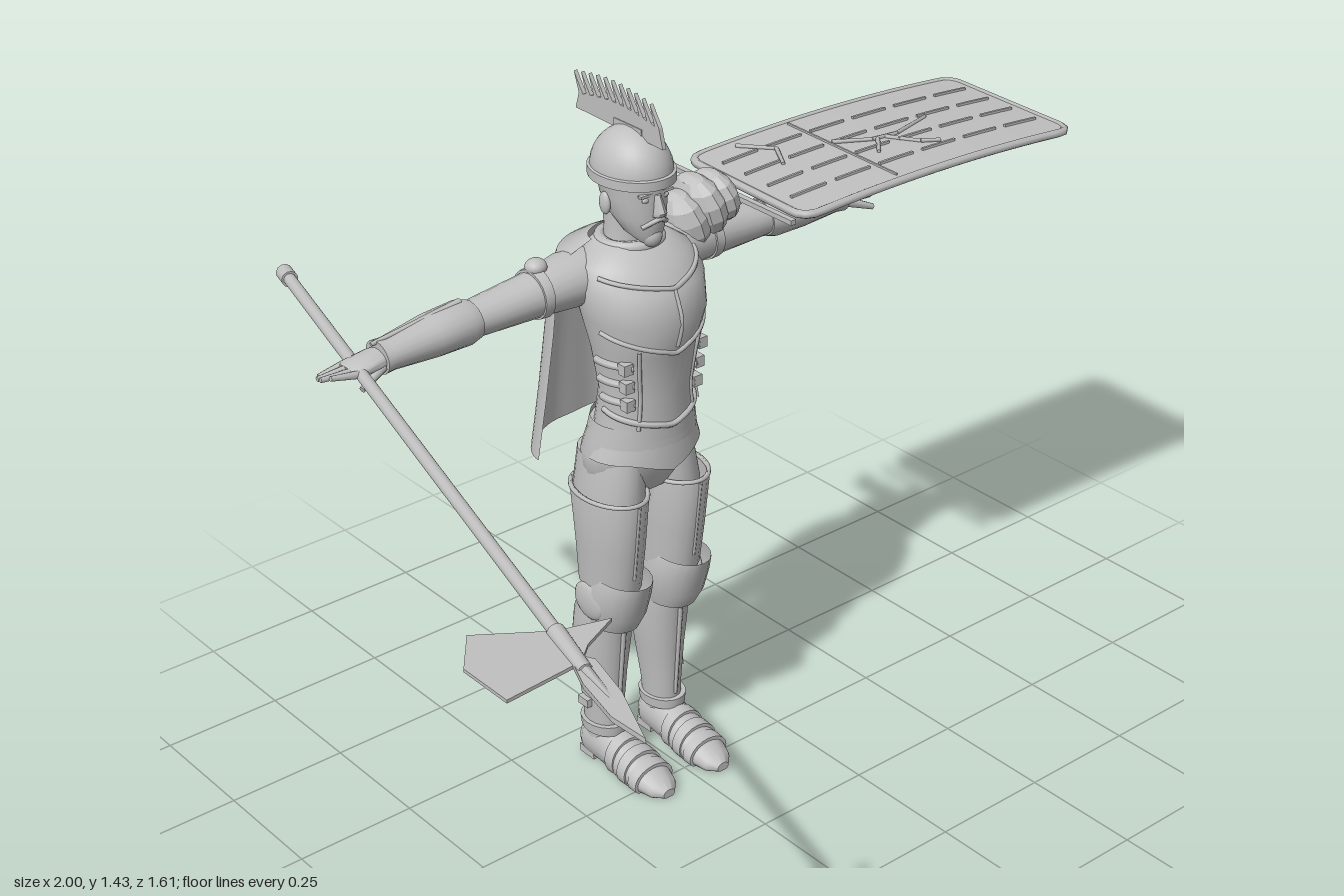
import * as THREE from 'three';
import { toCreasedNormals } from 'three/addons/utils/BufferGeometryUtils.js';

const steel = new THREE.MeshStandardMaterial({ color: 0xc0c0c0, side: THREE.DoubleSide });
steel.name = 'plain grey';
const C = -0.018; // body centre line
const AZ = -0.39; // arm line in z

// Skin elliptical rings [t, u, v, ru, rv] along an axis (0 x, 1 y, 2 z); u and v are the next axes in order
function loft(axis, rings, { seg = 20, open = false, floor = -9 } = {}) {
  const pos = [], idx = [], n = rings.length, flip = rings[n - 1][0] < rings[0][0];
  const put = (t, u, v) => {
    const p = [0, 0, 0];
    p[axis] = t; p[(axis + 1) % 3] = u; p[(axis + 2) % 3] = v;
    pos.push(p[0], Math.max(p[1], floor), p[2]);
  };
  const tri = (a, b, c) => (flip ? idx.push(a, c, b) : idx.push(a, b, c));
  for (const [t, u, v, ru, rv] of rings)
    for (let j = 0; j < seg; j++) {
      const a = (j / seg) * Math.PI * 2;
      put(t, u + ru * Math.cos(a), v + rv * Math.sin(a));
    }
  for (let i = 0; i < n - 1; i++)
    for (let j = 0; j < seg; j++) {
      const k = (j + 1) % seg, a = i * seg + j, b = i * seg + k;
      tri(a, b, b + seg); tri(a, b + seg, a + seg);
    }
  if (!open) {
    put(...rings[0].slice(0, 3)); put(...rings[n - 1].slice(0, 3));
    for (let j = 0; j < seg; j++) {
      const k = (j + 1) % seg, e = (n - 1) * seg;
      tri(n * seg, k, j); tri(n * seg + 1, e + j, e + k);
    }
  }
  const g = new THREE.BufferGeometry();
  g.setAttribute('position', new THREE.Float32BufferAttribute(pos, 3));
  g.setIndex(idx);
  return toCreasedNormals(g, 0.8);
}

const V = (x, y, z) => new THREE.Vector3(x, y, z);
const tube = (pts, r, closed = false, n = 40) =>
  new THREE.TubeGeometry(new THREE.CatmullRomCurve3(pts, closed), n, r, 6, closed);
const ball = (x, y, z, sx, sy, sz) => new THREE.SphereGeometry(1, 18, 12).scale(sx, sy, sz).translate(x, y, z);
const box = (x, y, z, w, h, d) => new THREE.BoxGeometry(w, h, d).translate(x, y, z);
// Rod between two points, r0 at a and r1 at b
function rod(a, b, r0, r1 = r0, seg = 12) {
  const d = b.clone().sub(a), g = new THREE.CylinderGeometry(r1, r0, d.length(), seg);
  g.applyQuaternion(new THREE.Quaternion().setFromUnitVectors(V(0, 1, 0), d.normalize()));
  return g.translate((a.x + b.x) / 2, (a.y + b.y) / 2, (a.z + b.z) / 2);
}
// Flat outline of [x, z] points lying level at height y
function plate(pts, y, t) {
  const s = new THREE.Shape(pts.map(([x, z]) => new THREE.Vector2(x, z)));
  return new THREE.ExtrudeGeometry(s, { depth: t, bevelEnabled: false }).rotateX(Math.PI / 2).translate(0, y + t / 2, 0);
}

// Torso rings: y, z, x, rz, rx
const TORSO = [[0.77, -0.33, C, 0.085, 0.105], [0.86, -0.325, C, 0.08, 0.092], [0.95, -0.325, C, 0.093, 0.105],
  [1.02, -0.325, C, 0.116, 0.12], [1.08, -0.335, C, 0.108, 0.128], [1.12, -0.35, C, 0.085, 0.115], [1.15, -0.362, C, 0.06, 0.072]];
// Point on the torso surface; a = 0 is the front
function onTorso(y, a, out = 0.001) {
  let i = 0;
  while (i < TORSO.length - 2 && y > TORSO[i + 1][0]) i++;
  const p = TORSO[i], q = TORSO[i + 1], f = (y - p[0]) / (q[0] - p[0]);
  const m = (k) => p[k] + (q[k] - p[k]) * f;
  return V(C + (m(4) + out) * Math.sin(a), y, m(1) + (m(3) + out) * Math.cos(a));
}
const torsoLine = (yAt, a0, a1, r) =>
  tube(Array.from({ length: 13 }, (_, i) => a0 + ((a1 - a0) * i) / 12).map((a) => onTorso(yAt(a), a)), r);

export function createModel() {
  const root = new THREE.Group();
  const add = (name, geo, parent = root) => {
    const m = new THREE.Mesh(geo, steel);
    m.name = name;
    parent.add(m);
    return m;
  };

  // Head and face
  add('neck', loft(1, [[1.1, -0.37, C, 0.05, 0.055], [1.16, -0.368, C, 0.042, 0.042], [1.23, -0.365, C, 0.045, 0.045]]));
  add('head', loft(1, [[1.158, -0.303, C, 0.02, 0.02], [1.175, -0.318, C, 0.04, 0.036], [1.205, -0.334, C, 0.06, 0.049],
    [1.24, -0.345, C, 0.071, 0.057], [1.29, -0.347, C, 0.075, 0.06]]));
  add('nose', loft(1, [[1.214, -0.272, C, 0.012, 0.013], [1.222, -0.268, C, 0.014, 0.012], [1.255, -0.275, C, 0.007, 0.006]], { seg: 8 }));
  add('beard', ball(C, 1.168, -0.295, 0.02, 0.022, 0.02));
  add('mustache', tube([V(C - 0.028, 1.192, -0.287), V(C, 1.207, -0.27), V(C + 0.028, 1.192, -0.287)], 0.005));
  for (const s of [-1, 1]) {
    add('ear', ball(C + s * 0.058, 1.228, -0.355, 0.008, 0.022, 0.014));
    add('eye', ball(C + s * 0.022, 1.246, -0.281, 0.009, 0.005, 0.004));
    add('brow', box(C + s * 0.024, 1.256, -0.28, 0.026, 0.005, 0.01));
  }

  // Helmet with its band and crest
  add('helmetDome', new THREE.SphereGeometry(1, 28, 10, 0, Math.PI * 2, 0, Math.PI / 2).scale(0.071, 0.083, 0.087).translate(C, 1.282, -0.348));
  add('helmetBand', loft(1, [[1.268, -0.348, C, 0.086, 0.07], [1.27, -0.348, C, 0.092, 0.075], [1.288, -0.348, C, 0.092, 0.075], [1.29, -0.348, C, 0.086, 0.07]], { seg: 28 }));
  const crest = new THREE.Shape();
  crest.moveTo(-0.505, 1.353);
  crest.lineTo(-0.252, 1.347);
  for (let i = 0; i < 11; i++) {
    const z = -0.262 - i * 0.022, y = 1.385 + 0.012 * Math.sin((i / 10) * Math.PI);
    crest.lineTo(z, y); crest.lineTo(z - 0.025, y + 0.038); crest.lineTo(z - 0.012, y);
  }
  add('helmetCrest', new THREE.ExtrudeGeometry(crest, { depth: 0.008, bevelEnabled: false }).rotateY(-Math.PI / 2).translate(C + 0.004, 0, 0));
  add('crestMount', box(C, 1.358, -0.35, 0.012, 0.02, 0.08));

  // Breastplate, its raised edges and side straps
  add('breastplate', loft(1, TORSO, { seg: 32 }));
  add('collar', new THREE.TorusGeometry(0.056, 0.012, 8, 28).rotateX(Math.PI / 2).translate(C, 1.145, -0.36));
  add('chestEdge', torsoLine((a) => 0.955 + 0.035 * Math.abs(a), -1.4, 1.4, 0.005));
  add('chestUpperEdge', torsoLine((a) => 1.085 + 0.02 * Math.abs(a), -1.2, 1.2, 0.005));
  add('chestRidge', tube([0.97, 1.0, 1.03, 1.06, 1.085].map((y) => onTorso(y, 0)), 0.004));
  add('waistEdge', torsoLine((a) => 0.8 + 0.02 * Math.abs(a), -1.6, 1.6, 0.006));
  for (const s of [-1, 1]) {
    add('frontSeam', tube([0.8, 0.86, 0.92, 0.97].map((y) => onTorso(y, s * 0.7)), 0.004));
    for (const y of [0.855, 0.895, 0.935]) {
      add('sideStrap', torsoLine(() => y, s * 0.8, s * 1.7, 0.008));
      const p = onTorso(y, s * 0.95, 0.006);
      add('buckle', box(p.x, p.y, p.z, 0.02, 0.022, 0.02));
    }
  }

  // Hips and pointed fauld plates
  add('hips', loft(1, [[0.64, -0.36, C, 0.06, 0.09], [0.68, -0.358, C, 0.08, 0.118], [0.73, -0.352, C, 0.088, 0.12], [0.79, -0.34, C, 0.082, 0.105]], { seg: 28 }));
  [0.785, 0.755].forEach((y, i) => {
    const fauld = loft(1, [[y - 0.028, -0.34, C, 0.094 + i * 0.002, 0.113 + i * 0.008], [y + 0.015, -0.335, C, 0.088, 0.106]], { seg: 32, open: true });
    const p = fauld.attributes.position;
    for (let k = 0; k < p.count; k++)
      if (p.getY(k) < y) p.setY(k, p.getY(k) - 0.025 * Math.max(0, 1 - Math.abs(p.getX(k) - C) / 0.08) * (p.getZ(k) > -0.34 ? 1 : 0));
    add('fauldPlate', fauld);
  });

  // Cape wrapping the back
  const capeRows = [[1.155, 0.075, 0.05, -0.375], [1.13, 0.135, 0.095, -0.38], [1.08, 0.15, 0.108, -0.385],
    [0.98, 0.158, 0.11, -0.392], [0.85, 0.175, 0.112, -0.4], [0.725, 0.196, 0.116, -0.405]];
  const cape = new THREE.PlaneGeometry(1, 1, 36, capeRows.length - 1), cp = cape.attributes.position;
  capeRows.forEach(([y, rx, rz, cz], i) => {
    for (let j = 0; j <= 36; j++) {
      const a = (j / 36) * Math.PI, fold = 1 + 0.02 * Math.sin(a * 10) * (i / 5);
      cp.setXYZ(i * 37 + j, C + rx * Math.cos(a), y, cz - rz * fold * Math.sin(a));
    }
  });
  cape.computeVertexNormals();
  add('cape', cape);

  for (const s of [-1, 1]) {
    // Arm, gauntlet cuff and open hand
    const X = (d) => C + s * d;
    const ring = (d, y, ry, rz) => [X(d), y, AZ + 0.003, ry, rz];
    add('upperArm', loft(0, [ring(0.08, 1.085, 0.05, 0.06), ring(0.13, 1.085, 0.052, 0.058), ring(0.19, 1.08, 0.044, 0.048), ring(0.3, 1.075, 0.036, 0.042), ring(0.37, 1.072, 0.032, 0.036), ring(0.53, 1.062, 0.024, 0.028)]));
    add('armBand', loft(0, [ring(0.19, 1.081, 0.049, 0.052), ring(0.21, 1.08, 0.047, 0.051)]));
    add('forearmGuard', loft(0, [ring(0.34, 1.073, 0.036, 0.042), ring(0.36, 1.073, 0.042, 0.047), ring(0.43, 1.07, 0.039, 0.046), ring(0.52, 1.064, 0.029, 0.036), ring(0.54, 1.063, 0.031, 0.037)]));
    add('guardPlate', rod(V(X(0.36), 1.112, AZ), V(X(0.55), 1.09, AZ), 0.008, 0.004, 6));
    add('palm', loft(0, [ring(0.52, 1.062, 0.018, 0.024), ring(0.55, 1.062, 0.018, 0.032), ring(0.595, 1.058, 0.013, 0.033), ring(0.605, 1.057, 0.008, 0.03)]));
    for (let i = 0; i < 4; i++) {
      const z = AZ - 0.022 + i * 0.017, len = [0.045, 0.058, 0.062, 0.052][i];
      add('finger', rod(V(X(0.595), 1.058, z), V(X(0.6 + len), 1.05 + 0.006 * i, z * 1.005), 0.008, 0.005, 8));
    }
    add('thumb', rod(V(X(0.545), 1.055, AZ + 0.025), V(X(0.6), 1.035, AZ + 0.042), 0.01, 0.006, 8));

    // Leg with thigh plate, knee guard and greave: rings y, z, x, rz, rx
    const L = (y, z, d, rz, rx) => [y, z, X(d), rz, rx];
    add('upperLeg', loft(1, [L(0.38, -0.362, 0.073, 0.06, 0.045), L(0.5, -0.36, 0.073, 0.07, 0.052), L(0.63, -0.36, 0.068, 0.085, 0.06), L(0.72, -0.36, 0.058, 0.078, 0.056)]));
    add('thighPlate', loft(1, [L(0.435, -0.358, 0.073, 0.074, 0.053), L(0.53, -0.352, 0.074, 0.083, 0.058), L(0.635, -0.349, 0.075, 0.094, 0.063), L(0.65, -0.349, 0.075, 0.092, 0.061)], { open: true }));
    add('thighRim', tube(Array.from({ length: 16 }, (_, i) => (i / 8) * Math.PI).map((a) => V(X(0.075) + 0.061 * Math.cos(a), 0.645, -0.349 + 0.092 * Math.sin(a))), 0.005, true));
    add('thighRidge', rod(V(X(0.074), 0.47, -0.28), V(X(0.075), 0.64, -0.256), 0.004, 0.004, 6));
    add('kneeGuard', loft(1, [L(0.345, -0.352, 0.072, 0.058, 0.046), L(0.38, -0.345, 0.073, 0.072, 0.055), L(0.43, -0.335, 0.073, 0.078, 0.059), L(0.465, -0.318, 0.073, 0.073, 0.05)], { open: true }));
    add('kneeWing', ball(X(0.123), 0.405, -0.36, 0.012, 0.04, 0.045));
    add('greave', loft(1, [L(0.06, -0.392, 0.075, 0.044, 0.034), L(0.13, -0.392, 0.074, 0.048, 0.037), L(0.22, -0.394, 0.073, 0.058, 0.046), L(0.3, -0.392, 0.072, 0.067, 0.054), L(0.35, -0.386, 0.072, 0.067, 0.051), L(0.4, -0.37, 0.072, 0.06, 0.047)]));
    add('ankleBand', loft(1, [L(0.078, -0.39, 0.075, 0.053, 0.042), L(0.1, -0.39, 0.075, 0.055, 0.044)]));
    add('shinRidge', rod(V(X(0.074), 0.11, -0.345), V(X(0.072), 0.33, -0.32), 0.004, 0.005, 6));
    for (const y of [0.15, 0.28]) add('greaveStrap', box(X(0.118), y, -0.395, 0.012, 0.018, 0.03));

    // Pointed foot with overlapping toe plates: rings z, x, y, rx, ry
    const F = (z, y, rx, ry) => [z, X(0.074 - (z + 0.4) * 0.02), y, rx, ry];
    add('foot', loft(2, [F(-0.44, 0.035, 0.026, 0.035), F(-0.42, 0.042, 0.038, 0.045), F(-0.36, 0.04, 0.04, 0.048), F(-0.31, 0.028, 0.044, 0.044), F(-0.25, 0.02, 0.045, 0.032), F(-0.21, 0.012, 0.033, 0.022), F(-0.19, 0.01, 0.014, 0.01)], { floor: 0.002 }));
    [[-0.325, 0.035, 0.046, 0.045], [-0.285, 0.026, 0.048, 0.042], [-0.25, 0.02, 0.048, 0.035]].forEach(([z, y, rx, ry]) =>
      add('toePlate', loft(2, [F(z - 0.012, y, rx, ry + 0.003), F(z + 0.012, y - 0.001, rx, ry)], { floor: 0.002 })));
    add('heel', box(X(0.074), 0.009, -0.415, 0.06, 0.018, 0.045));
  }

  // Right shoulder clasp and layered left pauldron
  add('shoulderClasp', ball(-0.21, 1.13, AZ, 0.021, 0.016, 0.021));
  const pauldron = new THREE.Group();
  pauldron.name = 'pauldron';
  pauldron.position.set(0.165, 1.13, AZ);
  pauldron.rotation.z = 0.3;
  root.add(pauldron);
  [[-0.035, 0.0, 0.045, 0.068, 0.062], [0.01, 0.012, 0.042, 0.066, 0.07], [0.05, 0.008, 0.036, 0.055, 0.062]].forEach(([x, y, a, b, c]) =>
    add('pauldronLame', toCreasedNormals(new THREE.SphereGeometry(1, 12, 7).scale(a, b, c).translate(x, y, 0), 0.3), pauldron));
  add('pauldronBar', box(0.255, 1.14, -0.392, 0.012, 0.01, 0.355));

  // Shield: slightly arched board, rounded rim, plank seams and cracks
  const shield = new THREE.Group();
  shield.name = 'shield';
  shield.position.set(0.638, 1.139, -0.385);
  shield.rotation.y = -0.038;
  root.add(shield);
  const arch = (x) => 0.014 * (1 - (x / 0.35) ** 2);
  const bend = (g) => {
    const p = g.attributes.position;
    for (let i = 0; i < p.count; i++) p.setY(i, p.getY(i) + arch(p.getX(i)));
    g.computeVertexNormals();
    return g;
  };
  add('shieldBoard', bend(new THREE.BoxGeometry(0.68, 0.01, 0.35, 20, 1, 1)), shield);
  const w = 0.345, h = 0.18, r = 0.035, o = new THREE.Shape();
  o.moveTo(-w + r, -h);
  [[w, -h, 1, 0, 0, 1], [w, h, 0, 1, -1, 0], [-w, h, -1, 0, 0, -1], [-w, -h, 0, -1, 1, 0]].forEach(([x, y, ax, ay, bx, by]) => {
    o.lineTo(x - ax * r, y - ay * r);
    o.quadraticCurveTo(x, y, x + bx * r, y + by * r);
  });
  add('shieldRim', tube(o.getSpacedPoints(80).slice(0, -1).map((p) => V(p.x, arch(p.x), p.y)), 0.009, true, 120), shield);
  for (const z of [-0.105, -0.035, 0.035, 0.105])
    for (let i = 0; i < 6; i++)
      add('plankSeam', bend(new THREE.BoxGeometry(0.085, 0.006, 0.005, 4, 1, 1).translate(-0.275 + i * 0.11, 0.007, z)), shield);
  add('crossSeam', box(-0.105, 0.019, 0, 0.004, 0.005, 0.33), shield);
  const cracks = [[[-0.25, -0.15], [-0.2, -0.085], [-0.235, -0.02]], [[-0.1, -0.035], [-0.03, 0.005], [0.03, 0.01], [0.135, -0.025]],
    [[-0.02, 0.01], [-0.06, 0.06]], [[0.0, 0.01], [0.04, 0.07], [0.075, 0.09]]];
  for (const c of cracks)
    for (let i = 1; i < c.length; i++) {
      const [a, b] = [c[i - 1], c[i]].map(([x, z]) => V(x, 0.007 + arch(x), z));
      add('crack', rod(a, b, 0.005, 0.004, 5), shield);
    }
  add('shieldGrip', box(0, -0.022, 0, 0.08, 0.009, 0.1), shield);

  // Polearm through the right hand
  const butt = V(-0.49, 1.06, -0.8), neck = V(-0.858, 1.046, 0.57);
  const along = (f) => butt.clone().lerp(neck, f);
  add('spearShaft', rod(butt, neck, 0.012, 0.011));
  add('spearButt', rod(along(0), along(0.025), 0.016));
  add('spearSocket', rod(along(0.95), along(1.03), 0.015, 0.012));
  add('spearTip', plate([[-0.856, 0.57], [-0.842, 0.6], [-0.865, 0.69], [-0.912, 0.803], [-0.915, 0.73], [-0.895, 0.64], [-0.875, 0.59]], 1.045, 0.009));
  add('spearTipRidge', rod(along(1.02), V(-0.908, 1.043, 0.79), 0.01, 0.002, 6));
  add('axeBlade', plate([[-1, 0.495], [-0.945, 0.425], [-0.84, 0.5], [-0.755, 0.527], [-0.825, 0.56], [-0.86, 0.59], [-1, 0.6]], 1.045, 0.006));
  return root;
}
